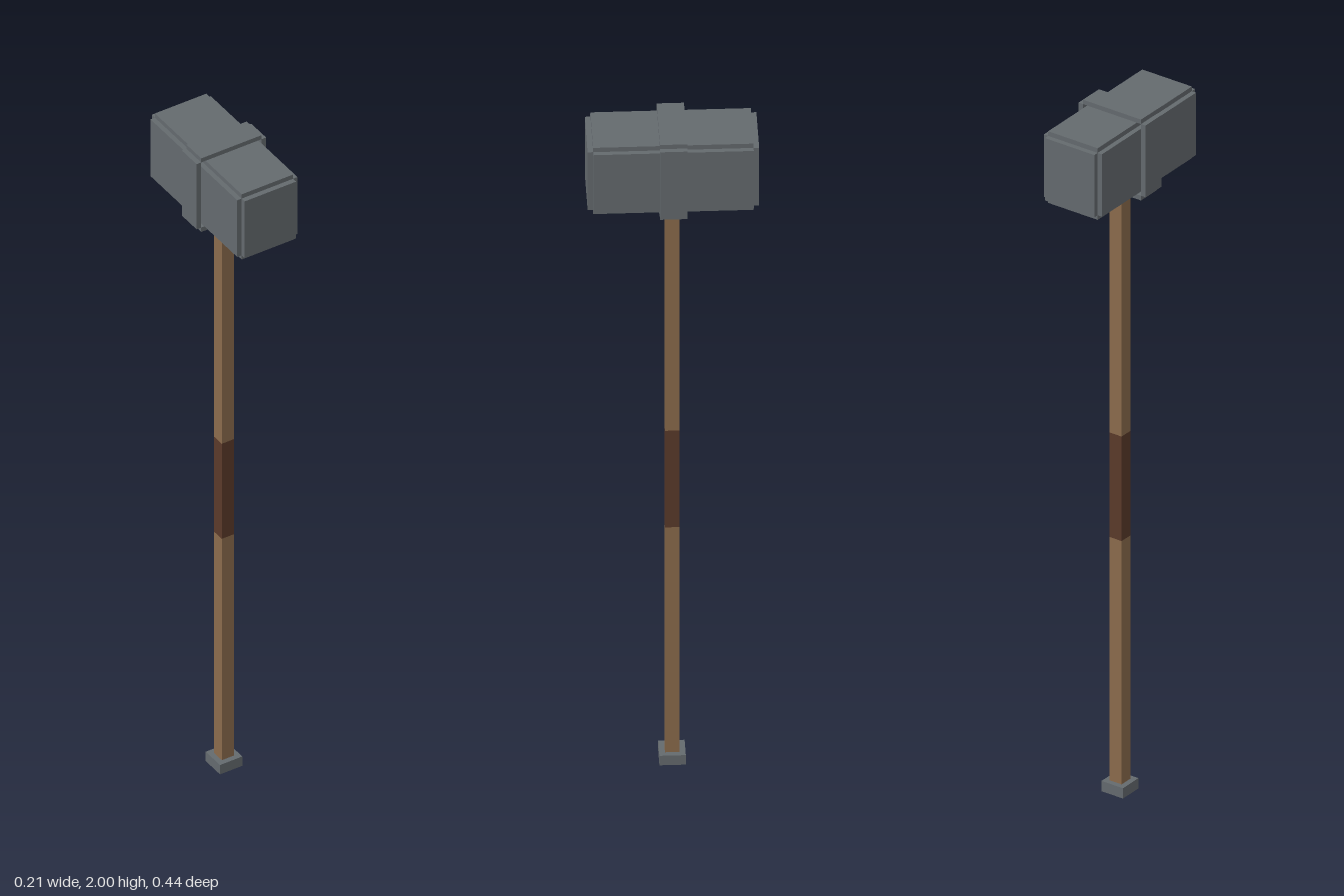
import * as THREE from 'three';

export function createModel() {
  const model = new THREE.Group();
  model.name = 'sledgehammer';

  const iron = new THREE.MeshStandardMaterial({ color: 0x646a6e });
  iron.name = 'grey iron';
  const wood = new THREE.MeshStandardMaterial({ color: 0x8b6b4c });
  wood.name = 'brown wood';
  const leather = new THREE.MeshStandardMaterial({ color: 0x5a3a2a });
  leather.name = 'dark leather';

  // Box given by half width, bottom, top and half depth
  function box(parent, name, material, hx, y0, y1, hz, x = 0) {
    const mesh = new THREE.Mesh(new THREE.BoxGeometry(hx * 2, y1 - y0, hz * 2), material);
    mesh.position.set(x, (y0 + y1) / 2, 0);
    mesh.name = name;
    parent.add(mesh);
  }

  // Square shaft with a wrapped grip, pommel and collar
  box(model, 'pommel', iron, 0.034, 0, 0.03, 0.034);
  box(model, 'lowerHandle', wood, 0.019, 0.03, 0.74, 0.019);
  box(model, 'grip', leather, 0.019, 0.74, 1.045, 0.019);
  box(model, 'upperHandle', wood, 0.019, 1.045, 1.737, 0.019);
  box(model, 'collar', iron, 0.034, 1.737, 1.764, 0.034);

  // Head: three crossed boxes leave a small step along every edge
  const head = new THREE.Group();
  head.name = 'head';
  model.add(head);
  const low = 1.778, high = 1.987, step = 0.0135;
  box(head, 'headSides', iron, 0.092, low + step, high - step, 0.206);
  box(head, 'headTopAndBottom', iron, 0.0785, low, high, 0.206);
  box(head, 'strikingFaces', iron, 0.0785, low + step, high - step, 0.2205);

  // Band: four plates around the middle of the head
  const band = new THREE.Group();
  band.name = 'band';
  model.add(band);
  box(band, 'bandTop', iron, 0.092, high, 2, 0.035);
  box(band, 'bandBottom', iron, 0.092, 1.764, low, 0.035);
  for (const side of [-1, 1]) {
    box(band, side > 0 ? 'bandLeft' : 'bandRight', iron, 0.007, low, high, 0.035, side * 0.099);
  }

  return model;
}
